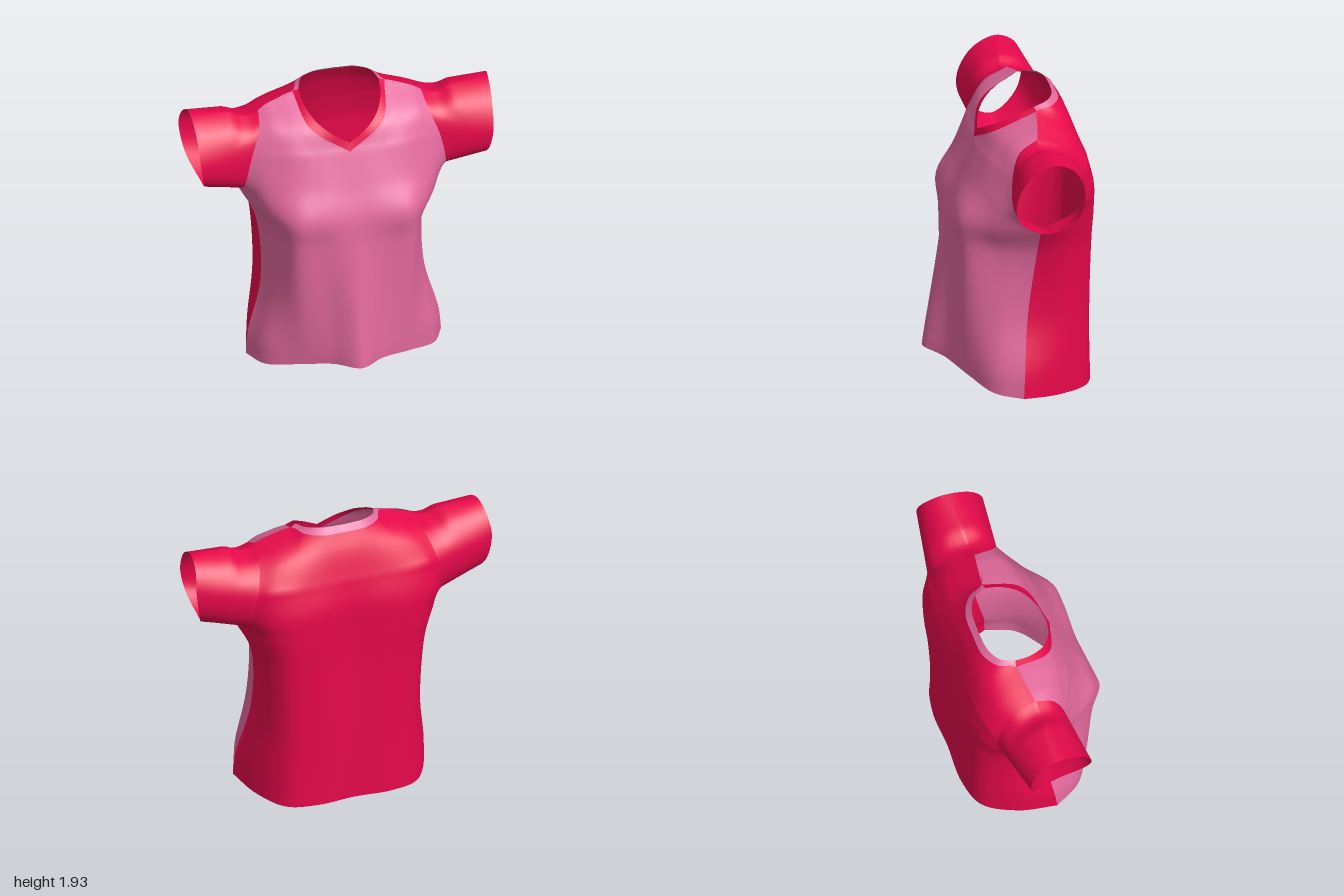
import * as THREE from 'three';
import { mergeVertices } from 'three/addons/utils/BufferGeometryUtils.js';

const PINK = 0xe2699c, RED = 0xe6084a;
const N = 64, M = 48; // samples up and across each half panel
const V = (x, y, z) => new THREE.Vector3(x, y, z);

// Half panels, hem to shoulder; five x, y, z points per row from the centre to the side seam
const FRONT = [
  [0, .165, .52, .16, .15, .41, .37, .10, .29, .55, .05, .165, .635, .03, -.01],
  [0, .24, .51, .17, .22, .405, .37, .20, .295, .545, .19, .165, .62, .19, -.02],
  [0, .55, .46, .18, .55, .38, .37, .55, .31, .485, .55, .14, .53, .55, -.055],
  [0, 1.0, .385, .20, 1.0, .36, .385, 1.0, .325, .475, 1.0, .125, .55, 1.0, -.11],
  [0, 1.2, .35, .22, 1.2, .365, .38, 1.2, .345, .53, 1.2, .18, .66, 1.235, -.12],
  [0, 1.38, .275, .20, 1.4, .27, .38, 1.39, .24, .54, 1.37, .16, .655, 1.35, .045],
  [0, 1.6, .185, .20, 1.6, .18, .35, 1.6, .165, .50, 1.59, .11, .61, 1.57, .06],
  [.235, 1.745, .09, .30, 1.745, .08, .38, 1.74, .065, .47, 1.735, .04, .55, 1.725, 0],
  [.30, 1.885, -.16, .36, 1.87, -.15, .42, 1.85, -.14, .48, 1.83, -.13, .53, 1.80, -.12],
];
const BACK = [
  [0, .01, -.51, .25, .005, -.515, .44, 0, -.455, .57, .01, -.25, .635, .03, -.01],
  [0, .20, -.51, .24, .20, -.51, .43, .20, -.455, .565, .20, -.25, .62, .19, -.02],
  [0, .55, -.505, .22, .55, -.51, .42, .55, -.46, .53, .55, -.28, .53, .55, -.055],
  [0, 1.0, -.49, .24, 1.0, -.51, .44, 1.0, -.475, .55, 1.0, -.31, .55, 1.0, -.11],
  [0, 1.24, -.49, .26, 1.24, -.515, .45, 1.24, -.495, .59, 1.24, -.37, .66, 1.235, -.12],
  [0, 1.42, -.49, .25, 1.42, -.51, .43, 1.40, -.505, .56, 1.38, -.455, .655, 1.35, -.35],
  [0, 1.6, -.46, .23, 1.6, -.465, .40, 1.6, -.465, .53, 1.6, -.44, .61, 1.58, -.40],
  [0, 1.78, -.40, .17, 1.78, -.395, .31, 1.775, -.375, .44, 1.76, -.345, .56, 1.74, -.29],
  [0, 1.89, -.34, .15, 1.89, -.33, .25, 1.89, -.265, .30, 1.885, -.16, .53, 1.80, -.12],
];
const NECK_ROW = 6, ARMPIT_ROW = 4;

// Spline up a column, with a sharp corner at one row
function column(points, corner) {
  const low = new THREE.CatmullRomCurve3(points.slice(0, corner + 1));
  const high = new THREE.CatmullRomCurve3(points.slice(corner));
  const k = corner / (points.length - 1);
  return (t) => (t <= k ? low.getPoint(t / k) : high.getPoint((t - k) / (1 - k)));
}

// Smooth grid of points through a coarse control net, cornered at the V of the neck and the armpit
function smoothNet(net) {
  const columns = [0, 1, 2, 3, 4].map((c) =>
    column(net.map((r) => V(r[3 * c], r[3 * c + 1], r[3 * c + 2])), c < 4 ? NECK_ROW : ARMPIT_ROW));
  return Array.from({ length: N + 1 }, (_, i) => {
    const p = columns.map((at) => at(i / N));
    // A mirrored neighbour keeps the cloth smooth across the middle
    const before = p[0].x < 1e-3 ? V(-p[1].x, p[1].y, p[1].z) : p[0].clone().multiplyScalar(2).sub(p[1]);
    const row = new THREE.CatmullRomCurve3([before, ...p]);
    return Array.from({ length: M + 1 }, (_, j) => row.getPoint((1 + 4 * j / M) / 5));
  });
}

// Cloth through rows of points, together with its mirror image
function cloth(name, rows, color, flip = false) {
  const positions = [], index = [];
  const w = rows[0].length, half = rows.length * w;
  for (const side of [1, -1]) {
    const base = side > 0 ? 0 : half;
    rows.forEach((row) => row.forEach((p) => positions.push(side * p.x, p.y, p.z)));
    for (let i = 0; i < rows.length - 1; i++) {
      for (let j = 0; j < w - 1; j++) {
        const a = base + i * w + j, b = a + 1, c = a + w, d = c + 1;
        if ((side > 0) !== flip) index.push(a, b, c, b, d, c);
        else index.push(a, c, b, b, c, d);
      }
    }
  }
  let geometry = new THREE.BufferGeometry();
  geometry.setAttribute('position', new THREE.Float32BufferAttribute(positions, 3));
  geometry.setIndex(index);
  geometry = mergeVertices(geometry, 1e-4);
  geometry.computeVertexNormals();
  const mesh = new THREE.Mesh(geometry, new THREE.MeshStandardMaterial({ color, side: THREE.DoubleSide }));
  mesh.name = name;
  return mesh;
}

// Band from an existing edge to a new edge through a few points
function band(name, edge, points, color, flip) {
  const curve = new THREE.CatmullRomCurve3(points);
  const inner = edge.map((_, k) => curve.getPoint(k / (edge.length - 1)));
  const middle = edge.map((p, k) => p.clone().lerp(inner[k], 0.5));
  return cloth(name, [edge, middle, inner], color, flip);
}

export function createModel() {
  const shirt = new THREE.Group();
  shirt.name = 'shirt';

  // Body panels
  const front = smoothNet(FRONT), back = smoothNet(BACK);
  shirt.add(cloth('frontPanel', front, PINK), cloth('backPanel', back, RED, true));

  // Collar: red V at the front, pink band round the back
  shirt.add(band('frontCollar', front.slice(N * NECK_ROW / 8).map((r) => r[0]),
    [V(0, 1.655, .163), V(.105, 1.715, .135), V(.2, 1.785, .06), V(.25, 1.85, -.05), V(.262, 1.9, -.15)], RED, false));
  shirt.add(band('backCollar', back[N].slice(0, M * 3 / 4 + 1),
    [V(0, 1.925, -.303), V(.14, 1.925, -.29), V(.225, 1.918, -.24), V(.262, 1.9, -.15)], PINK, true));

  // Sleeves run from the armhole, armpit first and up the front, to the cuff
  const armhole = [
    ...front.slice(N / 2).map((r) => r[M]),
    ...back.slice(N / 2, N).map((r) => r[M]).reverse(),
  ];
  const cuff = new THREE.CatmullRomCurve3([
    V(.9, 1.31, -.11), V(.925, 1.41, .07), V(.95, 1.56, .1), V(.96, 1.74, .01),
    V(.97, 1.82, -.15), V(.985, 1.77, -.27), V(1, 1.64, -.33), V(.965, 1.43, -.29),
  ], true);
  const steps = 16;
  const rings = Array.from({ length: steps + 1 }, (_, i) => armhole.map((p, k) => {
    const t = i / steps;
    const q = p.clone().lerp(cuff.getPoint(k / (armhole.length - 1)), t);
    // Soft dip beside the shoulder seam
    const top = Math.max(0, (q.y - 1.65) / 0.17);
    q.y -= 0.04 * top * Math.sin(Math.PI * Math.min(1, t * 2.5));
    return q;
  }));
  shirt.add(cloth('sleeves', rings, RED, true));
  return shirt;
}
